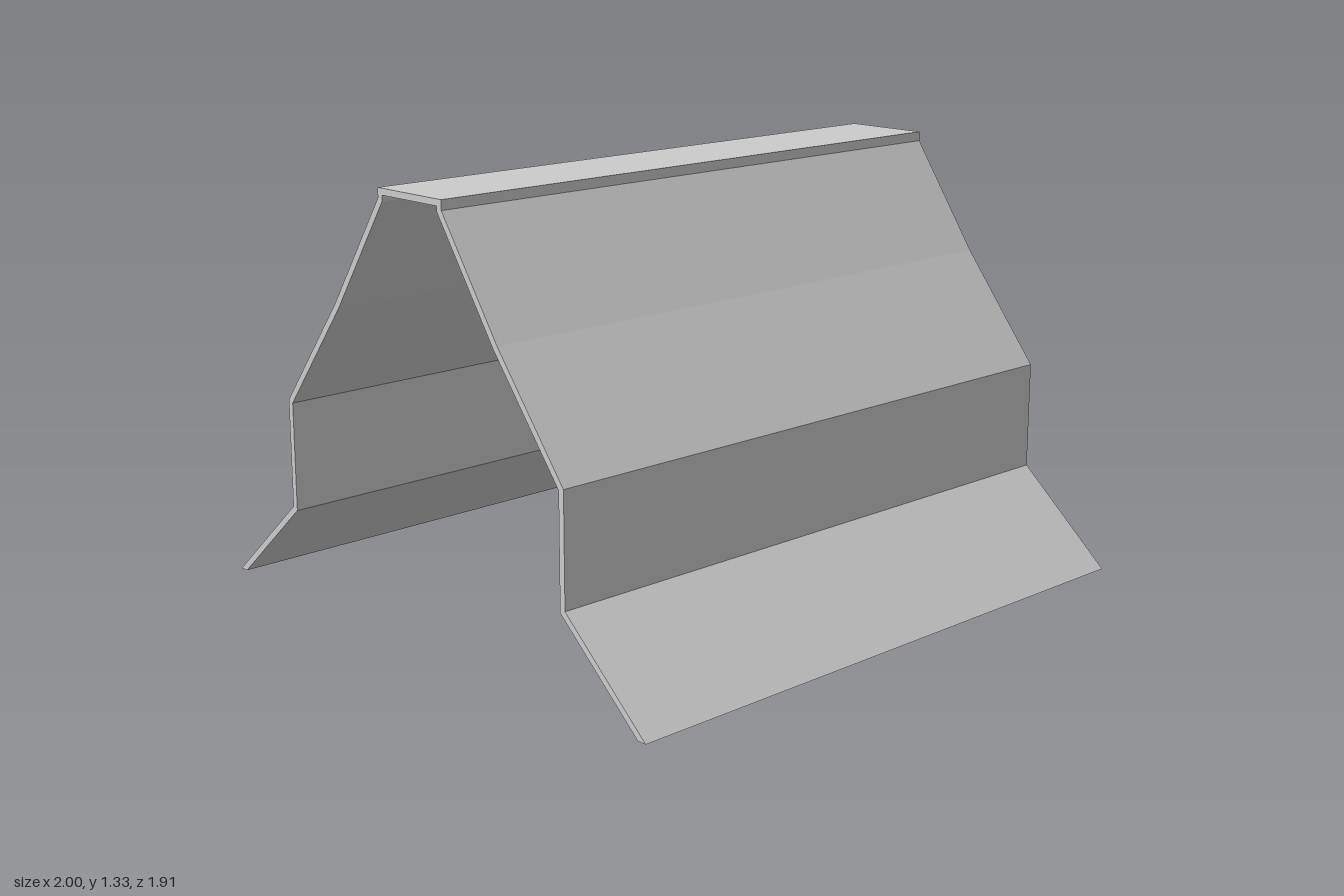
import * as THREE from 'three';

const LENGTH = 2;

// Half profiles as [distance from the centre plane, height], ground to ridge
const OUTER = [[0.955, 0], [0.64, 0.28], [0.64, 0.62], [0.375, 0.96], [0.145, 1.3], [0.145, 1.33]];
const INNER = [[0.925, 0], [0.62, 0.271], [0.62, 0.613], [0.357, 0.95], [0.125, 1.293], [0.125, 1.31]];

// Full left-to-right outline made by mirroring a half profile
function mirrored(half) {
  const right = half.map(([d, y]) => new THREE.Vector2(d, y));
  const left = half.map(([d, y]) => new THREE.Vector2(-d, y)).reverse();
  return [...right, ...left];
}

export function createModel() {
  const group = new THREE.Group();
  group.name = 'roofShell';
  const material = new THREE.MeshStandardMaterial({
    color: 0xcccccc, flatShading: true, side: THREE.DoubleSide,
  });

  // Thin folded roof, walls and flared skirts, open underneath
  const section = new THREE.Shape([...mirrored(OUTER), ...mirrored(INNER).reverse()]);
  const shellGeometry = new THREE.ExtrudeGeometry(section, { depth: LENGTH, bevelEnabled: false });
  shellGeometry.translate(0, 0, -LENGTH / 2).rotateY(Math.PI / 2);
  const shell = new THREE.Mesh(shellGeometry, material);
  shell.name = 'foldedShell';
  group.add(shell);

  // Flat sheet closing the +x end; the other end stays open
  const endGeometry = new THREE.ShapeGeometry(new THREE.Shape(mirrored(OUTER)));
  endGeometry.rotateY(Math.PI / 2).translate(LENGTH / 2, 0, 0);
  const endWall = new THREE.Mesh(endGeometry, material);
  endWall.name = 'endWall';
  group.add(endWall);

  return group;
}
